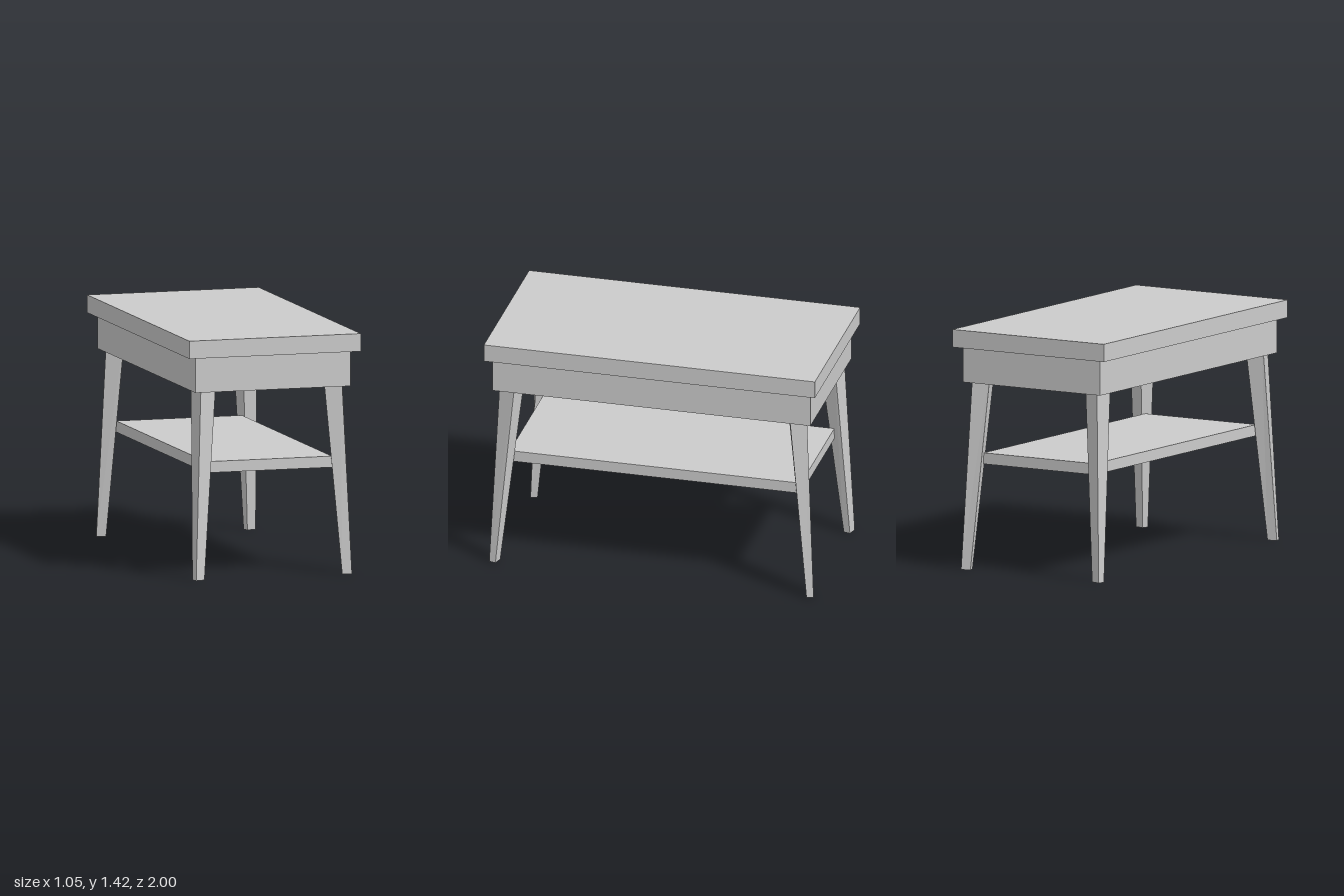
import * as THREE from 'three';

const material = new THREE.MeshStandardMaterial({ color: 0xcccccc, flatShading: true });

// Box-shaped board, centred on x and z, from height y0 to y1
function board(name, width, depth, y0, y1) {
  const mesh = new THREE.Mesh(new THREE.BoxGeometry(width, y1 - y0, depth), material);
  mesh.position.y = (y0 + y1) / 2;
  mesh.name = name;
  return mesh;
}

// Leg corners [x, z] in the +x +z quadrant, keyed by outward side in x then z
const LEG_TOP_Y = 1.312;
const FOOT = { io: [0.422, 0.965], oo: [0.477, 0.98], oi: [0.488, 0.94], ii: [0.433, 0.925] };
const HEAD = { io: [0.318, 0.885], oo: [0.425, 0.92], oi: [0.459, 0.815], ii: [0.354, 0.778] };

// Tapered, splayed and slightly twisted leg, mirrored into its quadrant
function leg(name, sx, sz) {
  const geometry = new THREE.BoxGeometry(1, 1, 1);
  const p = geometry.attributes.position;
  for (let i = 0; i < p.count; i++) {
    const key = (p.getX(i) * sx > 0 ? 'o' : 'i') + (p.getZ(i) * sz > 0 ? 'o' : 'i');
    const top = p.getY(i) > 0;
    const [x, z] = (top ? HEAD : FOOT)[key];
    p.setXYZ(i, x * sx, top ? LEG_TOP_Y : 0, z * sz);
  }
  geometry.computeVertexNormals();
  const mesh = new THREE.Mesh(geometry, material);
  mesh.name = name;
  return mesh;
}

export function createModel() {
  const table = new THREE.Group();
  table.name = 'table';
  table.add(
    board('tableTop', 1.05, 2, 1.315, 1.42),
    board('apron', 0.95, 1.92, 1.107, 1.314),
    board('shelf', 0.77, 1.76, 0.62, 0.686),
    leg('frontLeftLeg', 1, 1),
    leg('frontRightLeg', -1, 1),
    leg('backLeftLeg', 1, -1),
    leg('backRightLeg', -1, -1)
  );
  return table;
}
